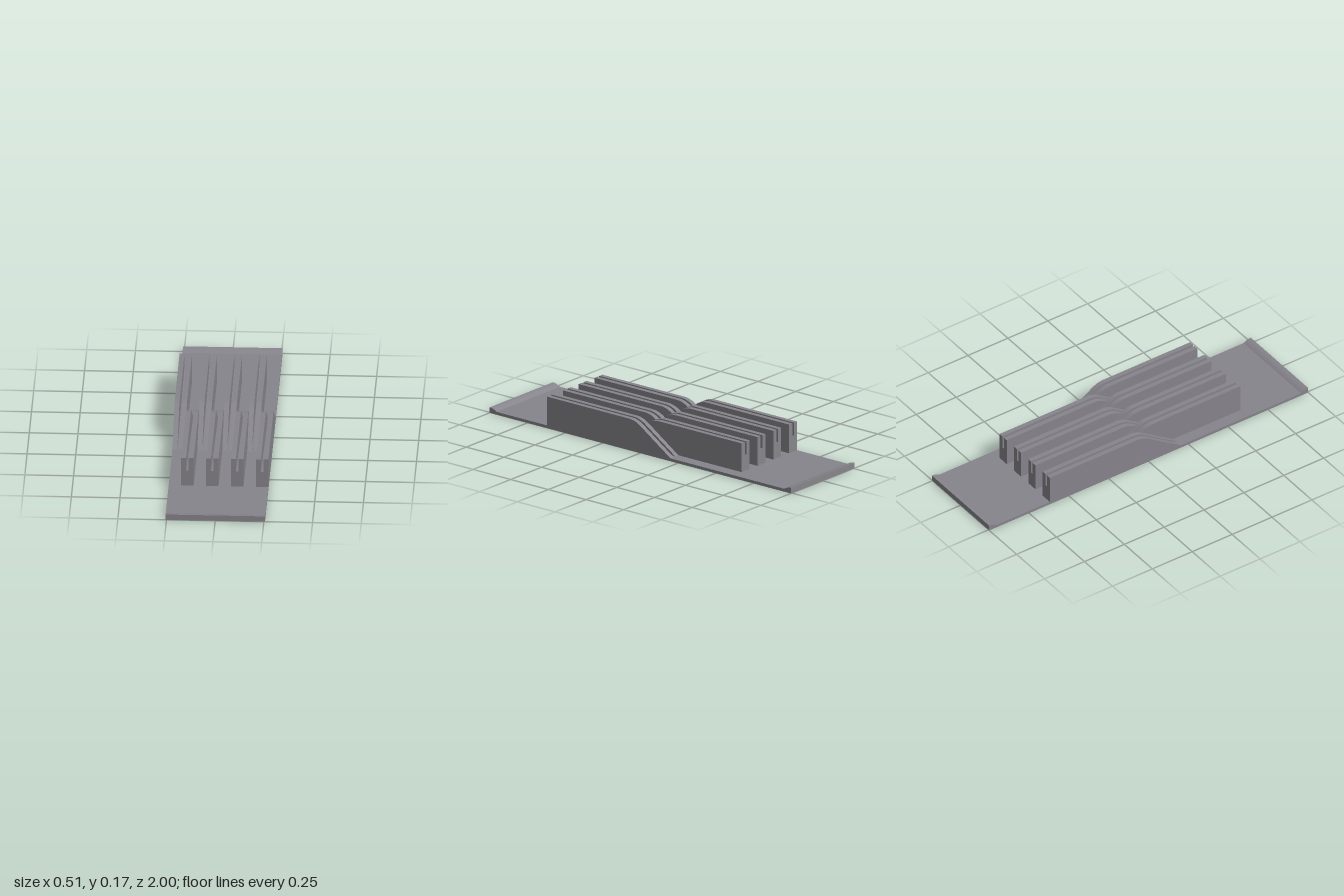
import * as THREE from 'three';
import { toCreasedNormals } from 'three/addons/utils/BufferGeometryUtils.js';

const WIDTH = 0.512, BASE = 0.015, TOP = 0.171, SLOT_FLOOR = 0.1;
const BAR = WIDTH / 8, SLOT = 0.0135, WALL = (BAR - SLOT) / 2;
const material = new THREE.MeshStandardMaterial({ color: 0x87858c });

// Extrudes a side profile (z, y) across x, centred on the given x
function slab(name, shape, width, x) {
  const geo = new THREE.ExtrudeGeometry(shape, { depth: width, bevelEnabled: false, curveSegments: 12 });
  geo.rotateY(-Math.PI / 2).translate(x + width / 2, 0, 0);
  const mesh = new THREE.Mesh(toCreasedNormals(geo, 0.4), material);
  mesh.name = name;
  return mesh;
}

// Flat tray with a rounded lip at each end
function trayProfile() {
  const s = new THREE.Shape();
  s.moveTo(-1, 0);
  s.lineTo(1, 0);
  s.lineTo(1, 0.03);
  s.quadraticCurveTo(0.977, 0.03, 0.955, BASE);
  s.lineTo(-0.955, BASE);
  s.quadraticCurveTo(-0.977, 0.03, -1, 0.03);
  s.closePath();
  return s;
}

// Side wall of a holder: square outer end, rounded shoulder and long ramp
function wallProfile() {
  const s = new THREE.Shape();
  s.moveTo(-0.2, BASE);
  s.lineTo(0.62, BASE);
  s.lineTo(0.62, TOP);
  s.lineTo(0.075, TOP);
  s.quadraticCurveTo(0.036, TOP, 0, 0.147);
  s.closePath();
  return s;
}

// Wedge between the walls, its top forming the gently sloping slot floor
function coreProfile() {
  const s = new THREE.Shape();
  s.moveTo(-0.2, BASE);
  s.lineTo(0.62, BASE);
  s.lineTo(0.62, SLOT_FLOOR);
  s.closePath();
  return s;
}

// One slotted holder pointing to +z
function holder(name) {
  const g = new THREE.Group();
  g.name = name;
  const offset = (SLOT + WALL) / 2;
  g.add(slab('leftWall', wallProfile(), WALL, offset));
  g.add(slab('rightWall', wallProfile(), WALL, -offset));
  g.add(slab('slotCore', coreProfile(), SLOT, 0));
  return g;
}

export function createModel() {
  const model = new THREE.Group();
  model.name = 'slottedTray';
  model.add(slab('tray', trayProfile(), WIDTH, 0));

  // Front and back holders alternate across the width
  for (let i = 0; i < 4; i++) {
    const x = WIDTH / 2 - BAR / 2 - i * 2 * BAR;
    const front = holder('frontHolder' + (i + 1));
    front.position.x = x;
    const back = holder('backHolder' + (i + 1));
    back.rotation.y = Math.PI;
    back.position.x = -x;
    model.add(front, back);
  }
  return model;
}
